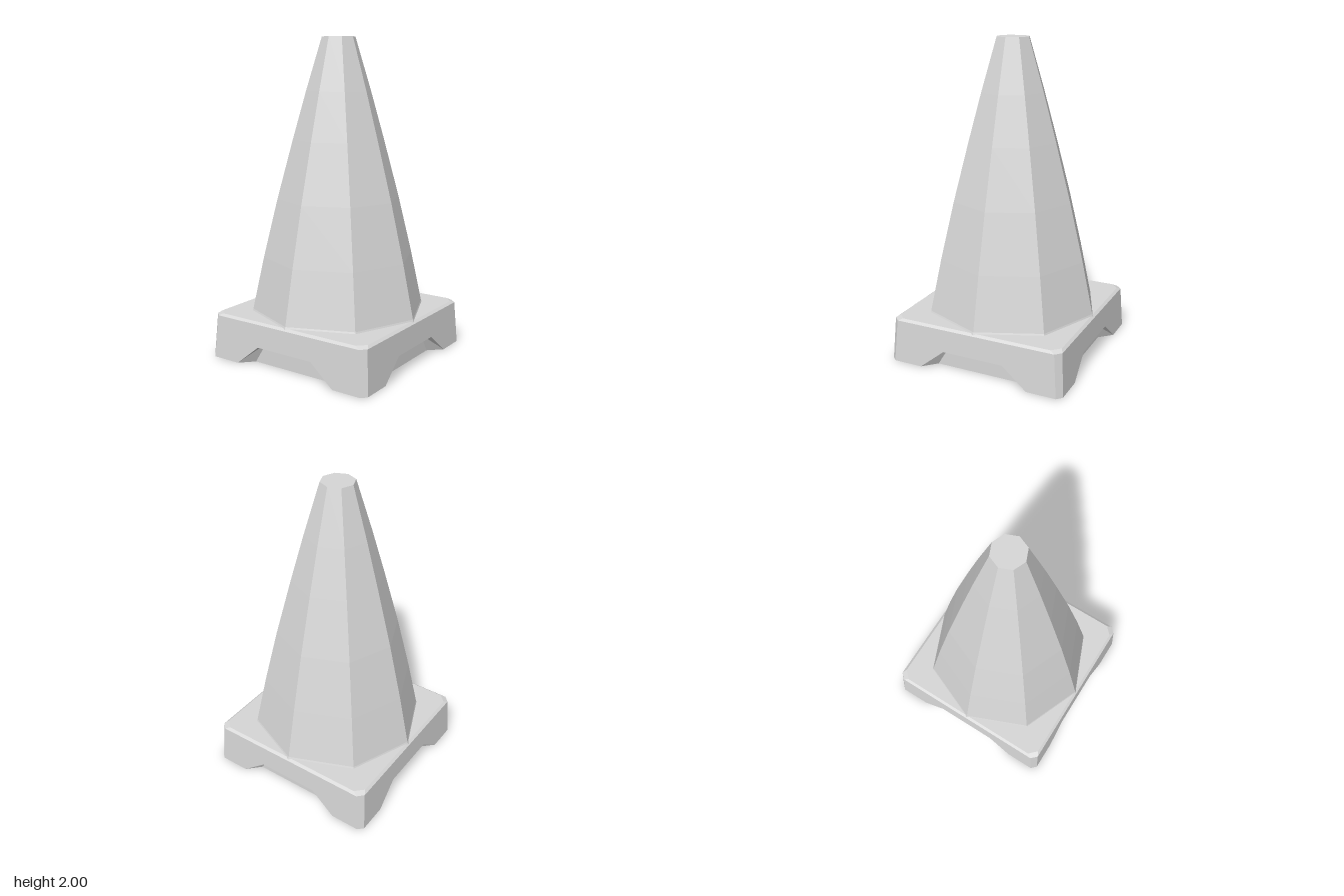
import * as THREE from 'three';

const grey = new THREE.MeshStandardMaterial({ color: 0xd6d6d6 });
grey.name = 'plain grey';

// Faceted normals for a geometry
function faceted(geometry) {
  const g = geometry.index ? geometry.toNonIndexed() : geometry;
  g.computeVertexNormals();
  return g;
}

// Each polygon is a convex, counter-clockwise loop of [x, y, z] corners
function fromPolygons(polygons) {
  const pos = [];
  for (const p of polygons) {
    for (let i = 1; i < p.length - 1; i++) pos.push(...p[0], ...p[i], ...p[i + 1]);
  }
  const g = new THREE.BufferGeometry();
  g.setAttribute('position', new THREE.Float32BufferAttribute(pos, 3));
  return faceted(g);
}

// One quarter of the base: side wall, notch, corner chamfer, and its share of top and bottom
function baseQuarter() {
  const pair = (x, y, z) => [[-x, y, z], [x, y, z]];
  const [bL, bR] = pair(0.55, 0, 0.582);       // outer bottom corners
  const [fL, fR] = pair(0.36, 0, 0.582);       // foot of the notch
  const [nL, nR] = pair(0.2, 0.13, 0.575);     // top of the notch
  const [wL, wR] = pair(0.28, 0, 0.5);         // recessed wall, bottom
  const [vL, vR] = pair(0.2, 0.13, 0.5);       // recessed wall, top
  const [tL, tR] = pair(0.53, 0.272, 0.567);   // upper edge of the side
  const [uL, uR] = pair(0.5, 0.285, 0.55);     // edge of the top face
  const next = ([x, y, z]) => [z, y, -x];      // same corner on the side to the right
  const [bN, tN, uN] = [bL, tL, uL].map(next);
  return fromPolygons([
    [bL, fL, nL, tL], [fR, bR, tR, nR], [nL, nR, tR, tL],      // side wall
    [tL, tR, uR, uL],                                          // top bevel
    [bR, bN, tN, tR], [tR, tN, uN, uR],                        // corner chamfer
    [wL, wR, vR, vL], [nL, vL, vR, nR],                        // notch wall and ceiling
    [fL, wL, vL, nL], [fR, nR, vR, wR],                        // notch ramps
    [[0, 0.285, 0], uL, uR, uN],                               // top face
    [[0, 0, 0], wR, wL], [[0, 0, 0], fR, wR], [[0, 0, 0], wL, fL],
    [[0, 0, 0], bR, fR], [[0, 0, 0], fL, bL], [[0, 0, 0], bN, bR], // underside
  ]);
}

export function createModel() {
  const model = new THREE.Group();
  model.name = 'trafficCone';

  // Square foot, four equal quarters
  const base = new THREE.Group();
  base.name = 'base';
  const quarter = baseQuarter();
  for (let i = 0; i < 4; i++) {
    const side = new THREE.Mesh(quarter, grey);
    side.name = 'baseSide' + (i + 1);
    side.rotation.y = (i * Math.PI) / 2;
    base.add(side);
  }
  model.add(base);

  // Eight-sided body with a very slight outward bow and a flat cap
  const profile = [
    [0.563, 0.272], [0.553, 0.295], [0.48, 0.63], [0.39, 1], [0.29, 1.37], [0.205, 1.67],
    [0.105, 2], [0, 2],
  ].map(([r, y]) => new THREE.Vector2(r, y));
  const cone = new THREE.Mesh(faceted(new THREE.LatheGeometry(profile, 8)), grey);
  cone.name = 'coneBody';
  model.add(cone);

  return model;
}
